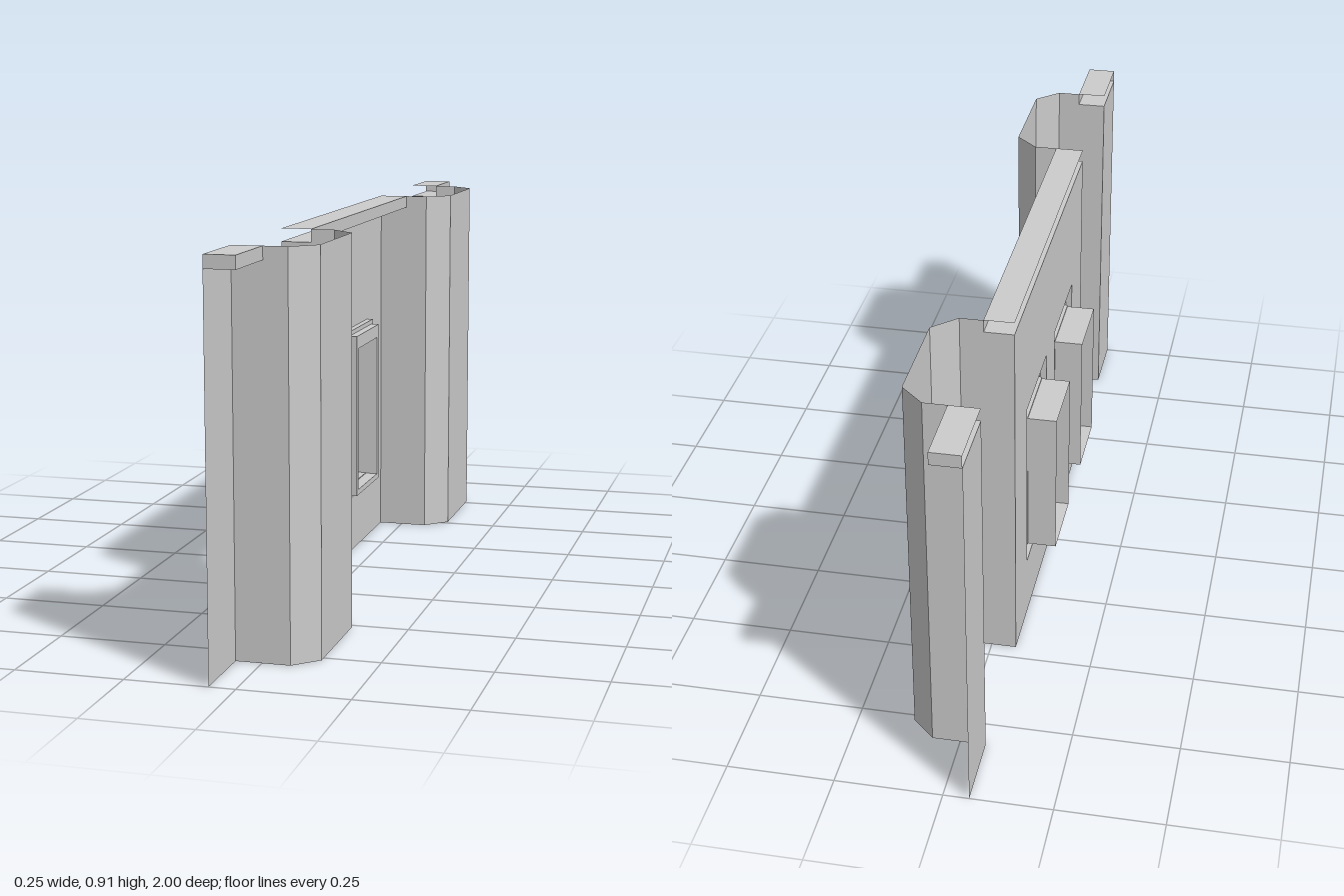
import * as THREE from 'three';

const BACK = -0.06, LIP = 0.01, SIDE = 0.065, FACE = 0.12; // depths along x
const TOP = 0.91, LEDGE = 0.88;

const material = new THREE.MeshStandardMaterial({
  color: 0xcccccc, flatShading: true, side: THREE.DoubleSide,
});

function addMesh(parent, name, geometry) {
  const mesh = new THREE.Mesh(geometry, material);
  mesh.name = name;
  parent.add(mesh);
  return mesh;
}

// Joins successive rows of [x, y, z] points with quads.
function loft(rows, closed = false) {
  const positions = [];
  for (let r = 0; r + 1 < rows.length; r++) {
    const a = rows[r], b = rows[r + 1], n = a.length;
    for (let i = 0; i < (closed ? n : n - 1); i++) {
      const j = (i + 1) % n;
      positions.push(...a[i], ...a[j], ...b[j], ...a[i], ...b[j], ...b[i]);
    }
  }
  const geometry = new THREE.BufferGeometry();
  geometry.setAttribute('position', new THREE.Float32BufferAttribute(positions, 3));
  geometry.computeVertexNormals();
  return geometry;
}

function polygon(points) {
  return points.map(([x, y]) => new THREE.Vector2(x, y));
}

// Sheet wall facing +x, with rectangular holes given as [z0, z1, y0, y1].
function wallPanel(z0, z1, holes = []) {
  const rect = (a, b, c, d) => polygon([[-b, c], [-a, c], [-a, d], [-b, d]]);
  const shape = new THREE.Shape(rect(z0, z1, 0, LEDGE));
  for (const hole of holes) shape.holes.push(new THREE.Path(rect(...hole)));
  return new THREE.ShapeGeometry(shape).rotateY(Math.PI / 2).translate(BACK, 0, 0);
}

// Projecting ledge along the top of a wall panel.
function ledge(z0, z1) {
  const profile = [[BACK, LEDGE], [LIP, LEDGE], [LIP, TOP], [BACK, TOP]];
  return loft([z0, z1].map((z) => profile.map(([x, y]) => [x, y, z])));
}

// Stepped frame and deep reveal; each step is [half width, bottom, top, x].
function windowSurround(zc) {
  const steps = [
    [0.128, 0.155, 0.594, BACK],
    [0.128, 0.155, 0.594, -0.045],
    [0.113, 0.166, 0.583, -0.045],
    [0.113, 0.166, 0.583, -0.025],
    [0.096, 0.18, 0.55, -0.025],
    [0.096, 0.18, 0.55, -0.055],
    [0.0935, 0.182, 0.547, -0.055],
    [0.0935, 0.182, 0.547, -0.125],
  ];
  return loft(steps.map(([w, y0, y1, x]) => [
    [x, y1, zc - w], [x, y1, zc + w], [x, y0, zc + w], [x, y0, zc - w],
  ]), true);
}

export function createModel() {
  const model = new THREE.Group();
  model.name = 'wallSection';

  // Middle wall with two window openings
  const windows = [-0.1845, 0.1845];
  addMesh(model, 'middleWall', wallPanel(-0.46, 0.46,
    windows.map((z) => [z - 0.128, z + 0.128, 0.155, 0.594])));
  addMesh(model, 'middleLedge', ledge(-0.46, 0.46));
  for (const z of windows) addMesh(model, 'windowSurround', windowSurround(z));

  // Pilaster side, notched around the ledge
  const sideShape = new THREE.Shape(polygon([
    [BACK, 0], [SIDE, 0], [SIDE, TOP], [LIP, TOP], [LIP, LEDGE], [BACK, LEDGE],
  ]));

  for (const s of [-1, 1]) {
    // Outer wall strip, its ledge and the ledge's end cap
    const [z0, z1] = s > 0 ? [0.82, 1] : [-1, -0.82];
    addMesh(model, 'outerWall', wallPanel(z0, z1));
    addMesh(model, 'outerLedge', ledge(z0, z1));
    const cap = addMesh(model, 'ledgeEnd', new THREE.PlaneGeometry(LIP - BACK, TOP - LEDGE));
    cap.position.set((LIP + BACK) / 2, (TOP + LEDGE) / 2, s);
    if (s < 0) cap.rotation.y = Math.PI;

    // Open pilaster with chamfered corners
    const pilaster = new THREE.Group();
    pilaster.name = 'pilaster';
    model.add(pilaster);
    const path = [[SIDE, 0.18], [FACE, 0.127], [FACE, -0.127], [SIDE, -0.18]];
    addMesh(pilaster, 'pilasterFace', loft([0, TOP].map((y) =>
      path.map(([x, z]) => [x, y, z + s * 0.64]))));
    for (const z of [0.46, 0.82]) {
      addMesh(pilaster, 'pilasterSide', new THREE.ShapeGeometry(sideShape)).position.z = s * z;
    }
  }
  return model;
}
